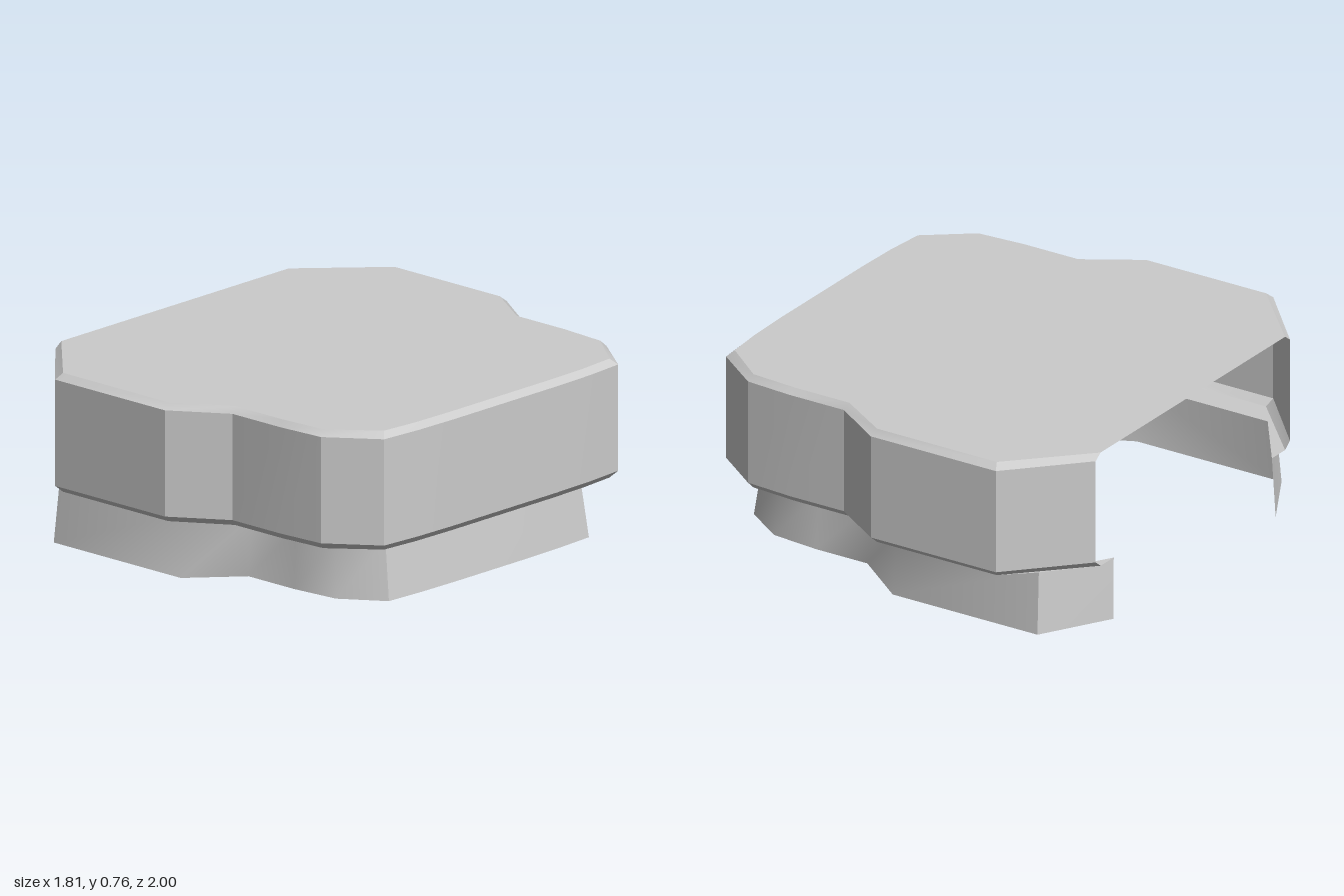
import * as THREE from 'three';
import { toCreasedNormals } from 'three/addons/utils/BufferGeometryUtils.js';

const material = new THREE.MeshStandardMaterial({ color: 0xcccccc, side: THREE.DoubleSide });

// Half outlines [x, z], running from the open left-hand end round to the closed end
const WALL = [[-0.9, 0.7], [-0.62, 1], [-0.02, 1], [0.21, 0.85], [0.47, 0.85], [0.68, 0.835], [0.885, 0.685], [0.9, 0.5], [0.905, 0.3]];
const INSET = [[-0.9, 0.665], [-0.605, 0.97], [-0.03, 0.97], [0.2, 0.825], [0.46, 0.825], [0.67, 0.81], [0.86, 0.66], [0.875, 0.49], [0.88, 0.29]];
const SKIRT_TOP = [[-0.9, 0.57], [-0.73, 0.855], [-0.05, 0.855], [0.18, 0.705], [0.42, 0.705], [0.62, 0.685], [0.785, 0.57], [0.795, 0.4], [0.797, 0.2]];
const SKIRT_BOTTOM = [[-0.908, 0.585], [-0.74, 0.88], [-0.045, 0.88], [0.18, 0.725], [0.43, 0.725], [0.64, 0.705], [0.818, 0.585], [0.828, 0.4], [0.832, 0.2]];

const mirrored = (half) => [...half, ...half.map(([x, z]) => [x, -z]).reverse()];

// Full open ring at a height, which may depend on x
function ring(half, height) {
  return mirrored(half).map(([x, z]) => [x, typeof height === 'function' ? height(x) : height, z]);
}

// Thin band between two open rings
function band(name, lower, upper, crease) {
  const n = lower.length;
  const index = [];
  for (let i = 0; i < n - 1; i++) {
    index.push(i, i + 1, n + i + 1, i, n + i + 1, n + i);
  }
  const geometry = new THREE.BufferGeometry();
  geometry.setAttribute('position', new THREE.Float32BufferAttribute([...lower, ...upper].flat(), 3));
  geometry.setIndex(index);
  const mesh = new THREE.Mesh(toCreasedNormals(geometry, THREE.MathUtils.degToRad(crease)), material);
  mesh.name = name;
  return mesh;
}

export function createModel() {
  const model = new THREE.Group();
  model.name = 'openShell';

  // Flat lid
  const lidShape = new THREE.Shape(mirrored(INSET).map(([x, z]) => new THREE.Vector2(x, z)));
  const lid = new THREE.Mesh(new THREE.ShapeGeometry(lidShape).rotateX(-Math.PI / 2), material);
  lid.position.y = 0.76;
  lid.name = 'lid';
  model.add(lid);

  // Upper body: bevelled wall with a ledge beneath
  model.add(
    band('topBevel', ring(WALL, 0.735), ring(INSET, 0.76), 25),
    band('wall', ring(WALL, 0.29), ring(WALL, 0.735), 25),
    band('bottomBevel', ring(INSET, 0.262), ring(WALL, 0.29), 25),
    band('ledge', ring(SKIRT_TOP, 0.262), ring(INSET, 0.262), 25)
  );

  // Flared skirt, slightly shorter towards the closed end
  const hem = (x) => 0.02 * THREE.MathUtils.clamp((x + 0.045) / 0.22, 0, 1);
  model.add(band('skirt', ring(SKIRT_BOTTOM, hem), ring(SKIRT_TOP, 0.262), 40));

  return model;
}
